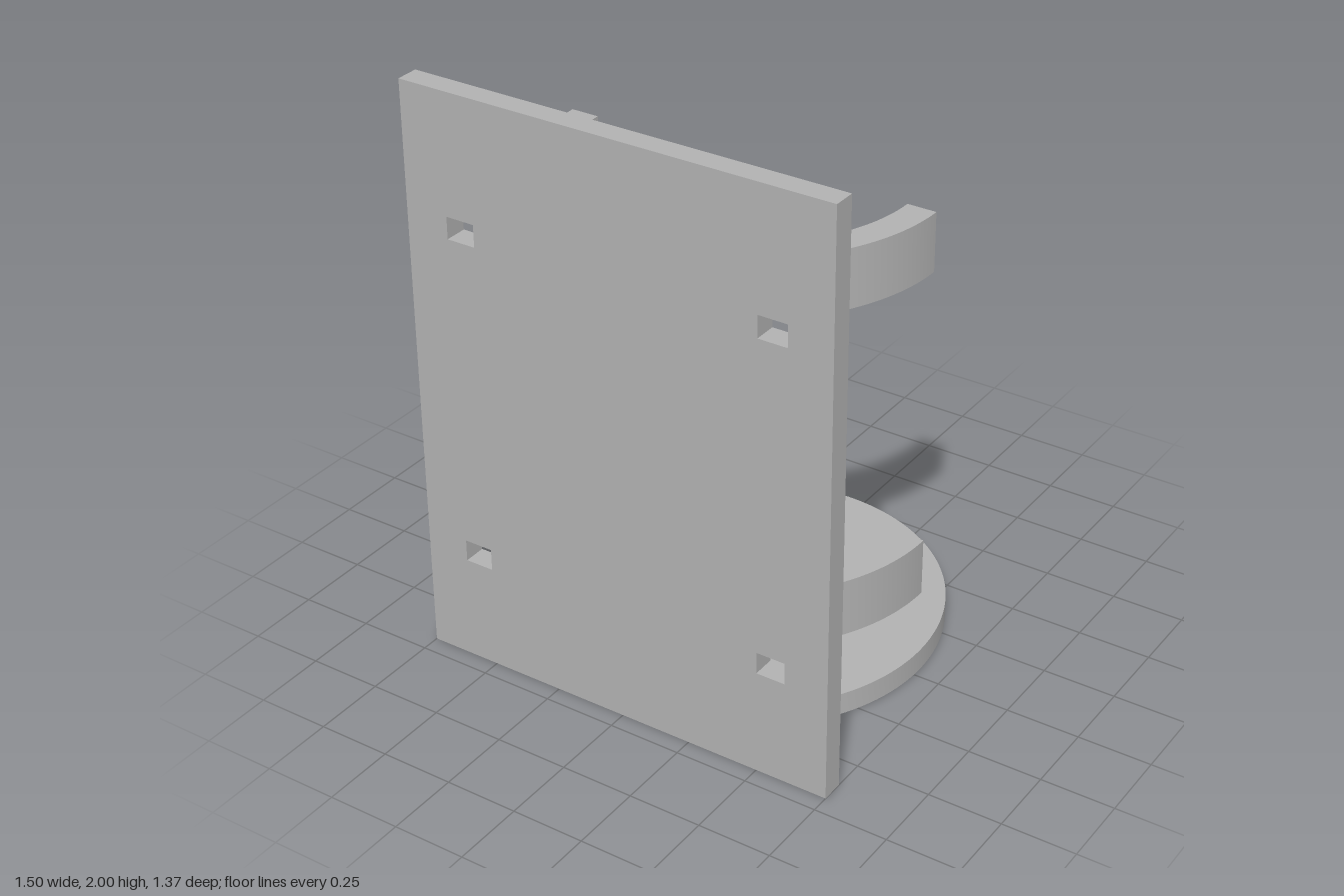
import * as THREE from 'three';
import { toCreasedNormals } from 'three/addons/utils/BufferGeometryUtils.js';

const PLATE_BACK = 0.61, PLATE_FRONT = 0.687;
const CENTRE_Z = -0.027, OUTER = 0.66, INNER = 0.562;
// half angle of the flat where the round parts meet the plate
const FLAT = Math.acos((PLATE_BACK - CENTRE_Z) / OUTER);
const DOWN = Math.PI * 1.5;

export function createModel() {
  const group = new THREE.Group();
  const grey = new THREE.MeshStandardMaterial({ color: 0xb2b2b2 });
  grey.name = 'grey';

  const extrude = (name, shape, depth, curveSegments) => {
    const geometry = new THREE.ExtrudeGeometry(shape, { depth, curveSegments, bevelEnabled: false });
    const mesh = new THREE.Mesh(toCreasedNormals(geometry, 0.5), grey);
    mesh.name = name;
    group.add(mesh);
    return mesh;
  };
  // horizontal slab: shape -y becomes the front
  const slab = (name, shape, y, height, segments) => {
    const mesh = extrude(name, shape, height, segments);
    mesh.rotation.x = -Math.PI / 2;
    mesh.position.set(0, y, CENTRE_Z);
  };
  const rectangle = (target, x0, y0, x1, y1) => {
    target.moveTo(x0, y0);
    target.lineTo(x1, y0);
    target.lineTo(x1, y1);
    target.lineTo(x0, y1);
    target.closePath();
    return target;
  };

  // Mounting plate with four rectangular slots
  const plate = rectangle(new THREE.Shape(), -0.75, 0, 0.75, 2);
  for (const x of [-0.6, 0.5]) {
    for (const y of [0.365, 1.515]) {
      plate.holes.push(rectangle(new THREE.Path(), x, y, x + 0.1, y + 0.075));
    }
  }
  extrude('mountingPlate', plate, PLATE_FRONT - PLATE_BACK, 1).position.z = PLATE_BACK;

  // Base disc with a drain hole, cut flat against the plate
  const disc = new THREE.Shape();
  disc.absarc(0, 0, OUTER, DOWN + FLAT - 2 * Math.PI, DOWN - FLAT, false);
  disc.closePath();
  disc.holes.push(new THREE.Path().absarc(0, 0, 0.1, 0, Math.PI * 2, true));
  slab('baseDisc', disc, 0, 0.077, 64);

  // Two half-ring holders, open at the back
  const ring = new THREE.Shape();
  ring.absarc(0, 0, OUTER, Math.PI, DOWN - FLAT, false);
  ring.absarc(0, 0, OUTER, DOWN + FLAT, Math.PI * 2, false);
  ring.absarc(0, 0, INNER, Math.PI * 2, Math.PI, true);
  ring.closePath();
  slab('lowerHolder', ring, 0.305, 0.198, 32);
  slab('upperHolder', ring, 1.455, 0.198, 32);

  return group;
}
